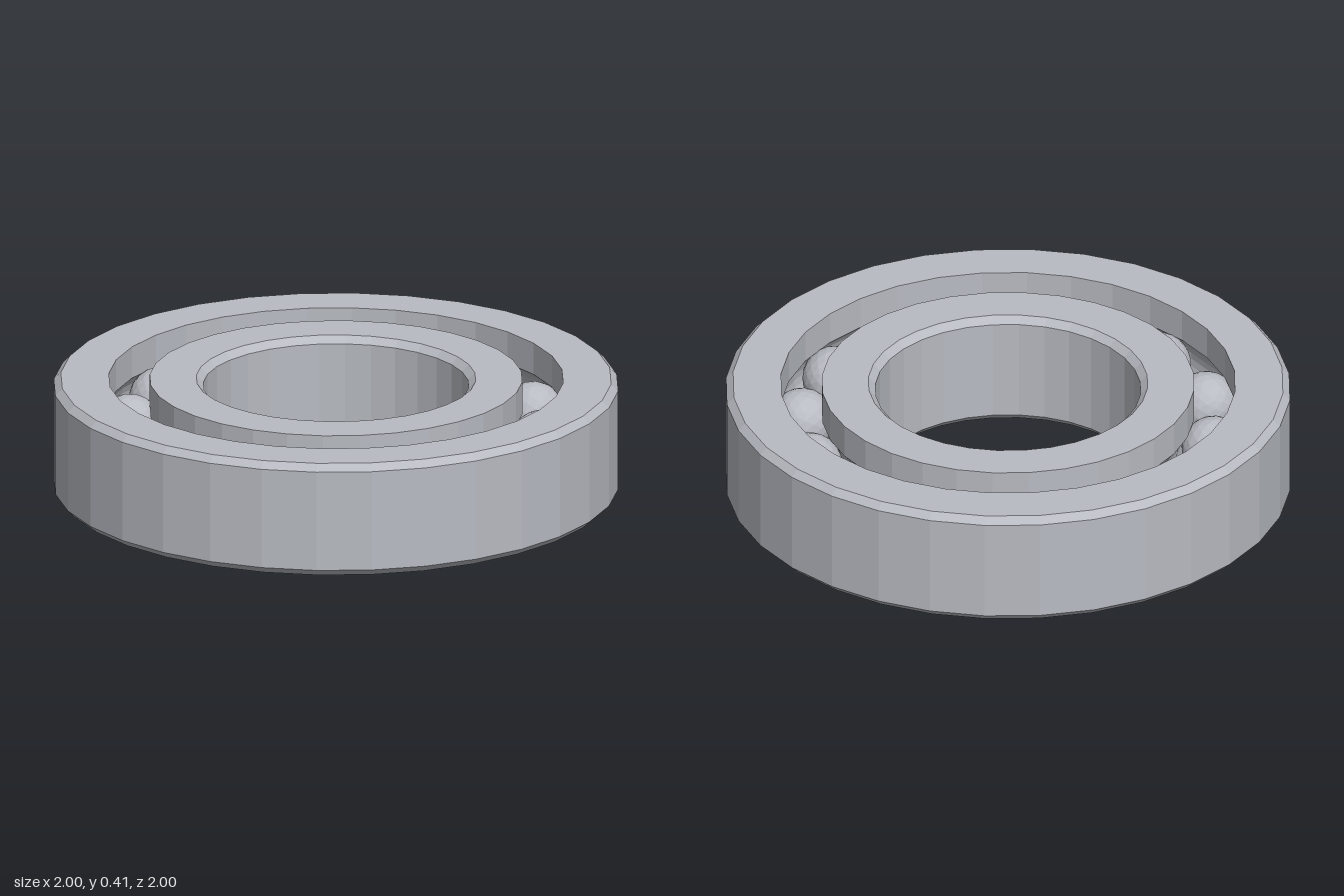
import * as THREE from 'three';

const HEIGHT = 0.415, MID = HEIGHT / 2;
const CHAMFER = 0.025;
const SEGMENTS = 32;
const PITCH = 0.735, BALL_R = 0.115, BALLS = 14;

// Rounded ball groove cut into a wall at radius wallR, from one rim to the other
function groove(wallR, startsAtTop) {
  const side = Math.sign(wallR - PITCH);
  const a = Math.acos(Math.abs(wallR - PITCH) / BALL_R);
  const points = [];
  for (let i = 0; i <= 8; i++) {
    const t = (startsAtTop ? 1 : -1) * a * (1 - i / 4);
    points.push([PITCH + side * BALL_R * Math.cos(t), MID + BALL_R * Math.sin(t)]);
  }
  return points;
}

export function createModel() {
  const model = new THREE.Group();
  model.name = 'ballBearing';
  const steel = new THREE.MeshStandardMaterial({ color: 0xb8bbc2, flatShading: true });
  steel.name = 'steel';

  // Closed counterclockwise profile turned around the axis
  function ring(name, profile) {
    const points = [...profile, profile[0]].map(([r, y]) => new THREE.Vector2(r, y));
    const mesh = new THREE.Mesh(new THREE.LatheGeometry(points, SEGMENTS), steel);
    mesh.name = name;
    model.add(mesh);
  }

  // Outer race: chamfered outside, groove inside
  ring('outerRace', [
    [0.805, 0], [1 - CHAMFER, 0], [1, CHAMFER],
    [1, HEIGHT - CHAMFER], [1 - CHAMFER, HEIGHT], [0.805, HEIGHT],
    ...groove(0.805, true),
  ]);

  // Inner race: groove outside, chamfered bore
  ring('innerRace', [
    [0.66, 0], ...groove(0.66, false), [0.66, HEIGHT],
    [0.47 + CHAMFER, HEIGHT], [0.47, HEIGHT - CHAMFER],
    [0.47, CHAMFER], [0.47 + CHAMFER, 0],
  ]);

  // Balls spaced evenly between the races
  const balls = new THREE.Group();
  balls.name = 'balls';
  const ballGeometry = new THREE.IcosahedronGeometry(BALL_R, 3);
  for (let i = 0; i < BALLS; i++) {
    const a = (i / BALLS) * Math.PI * 2;
    const ball = new THREE.Mesh(ballGeometry, steel);
    ball.name = 'ball';
    ball.position.set(PITCH * Math.cos(a), MID, PITCH * Math.sin(a));
    ball.rotation.y = -a;
    balls.add(ball);
  }
  model.add(balls);
  return model;
}
